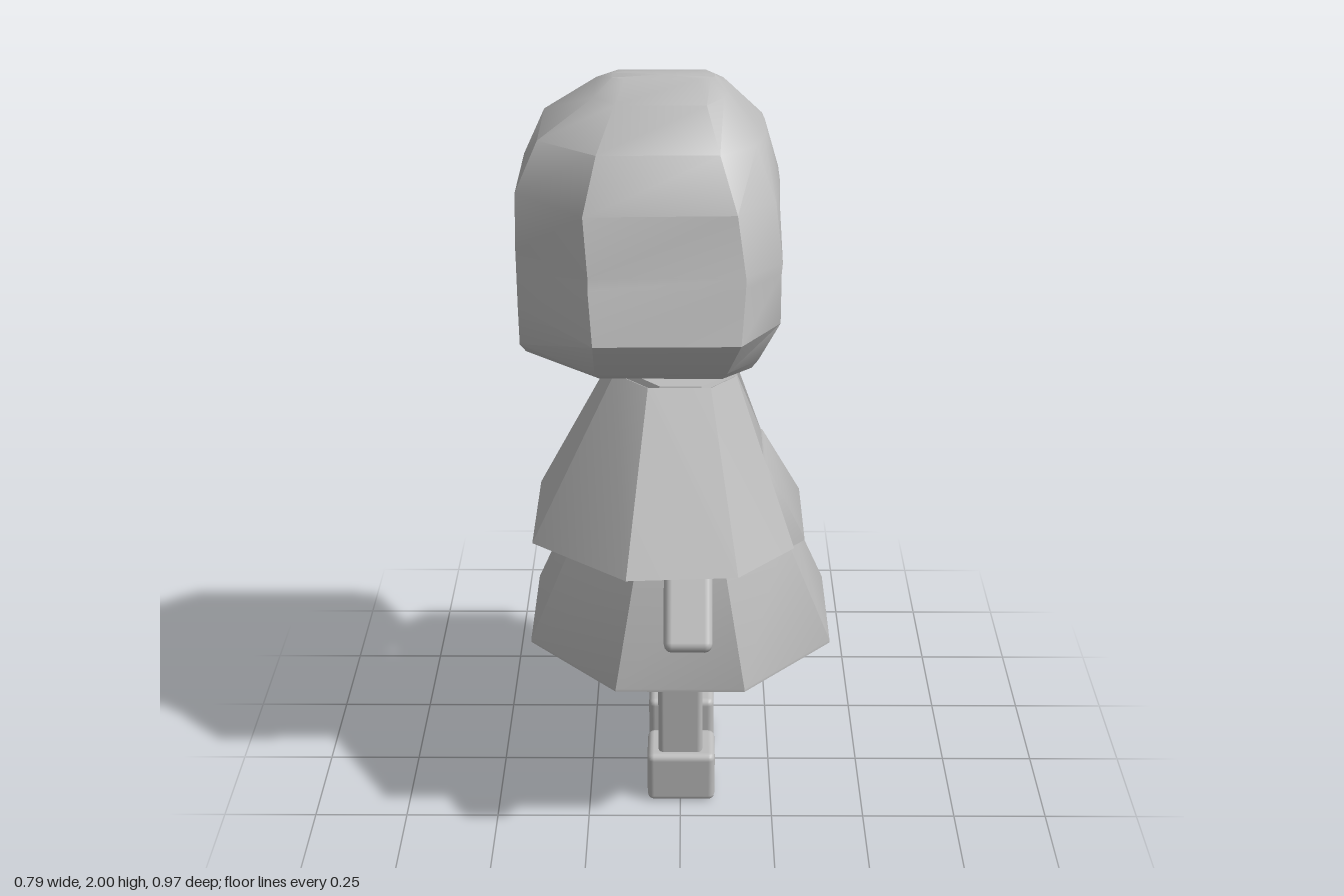
import * as THREE from 'three';
import { toCreasedNormals } from 'three/addons/utils/BufferGeometryUtils.js';
import { RoundedBoxGeometry } from 'three/addons/geometries/RoundedBoxGeometry.js';

const clay = new THREE.MeshStandardMaterial({ color: 0xbcbcbc });
clay.name = 'grey clay';

// Closed solid through equal-length loops of [x, y, z] points, capped at both ends.
function loft(rings, crease, lowCentre, highCentre) {
  const n = rings[0].length;
  const mean = (r) => [0, 1, 2].map((k) => r.reduce((s, p) => s + p[k], 0) / n);
  const last = rings.length - 1;
  const points = [...rings.flat(), lowCentre || mean(rings[0]), highCentre || mean(rings[last])];
  const low = rings.length * n, high = low + 1, index = [];
  for (let j = 0; j < n; j++) {
    const k = (j + 1) % n;
    for (let i = 0; i < last; i++) {
      const a = i * n + j, b = i * n + k;
      index.push(a, b, b + n, a, b + n, a + n);
    }
    index.push(low, k, j, high, last * n + j, last * n + k);
  }
  const g = new THREE.BufferGeometry();
  g.setAttribute('position', new THREE.Float32BufferAttribute(points.flat(), 3));
  g.setIndex(index);
  return toCreasedNormals(g, crease);
}

// Eight-sided flared tier of clothing with flat sides facing the axes.
function tier(topX, topZ, hemX, hemZ, yTop, yHem) {
  const ring = (rx, rz, y) => Array.from({ length: 8 }, (_, i) => {
    const a = Math.PI / 8 + (i * Math.PI) / 4, k = 1 / Math.cos(Math.PI / 8);
    return [-Math.cos(a) * rx * k, y, Math.sin(a) * rz * k];
  });
  return loft([ring(hemX, hemZ, yHem), ring(hemX, hemZ, yHem + 0.008), ring(topX, topZ, yTop)], 0.5);
}

export function createModel() {
  const model = new THREE.Group();
  model.name = 'doll';
  const add = (name, geometry, x = 0, y = 0, z = 0) => {
    const mesh = new THREE.Mesh(geometry, clay);
    mesh.name = name;
    mesh.position.set(x, y, z);
    model.add(mesh);
    return mesh;
  };

  // Bobbed hair: half loops from the back to the face opening as [x, z, lift], mirrored in z.
  const hairLevels = [
    [1.355, [[-0.375, 0.14], [-0.19, 0.29], [0.1, 0.29], [0.17, 0.23], [0.1, 0.16], [0.03, 0.08]]],
    [1.38, [[-0.388, 0.155], [-0.2, 0.32], [0.11, 0.315], [0.185, 0.24], [0.11, 0.17], [0.05, 0.1]]],
    [1.48, [[-0.388, 0.16], [-0.2, 0.385], [0.14, 0.38], [0.235, 0.25], [0.15, 0.22], [0.08, 0.1]]],
    [1.6, [[-0.388, 0.155], [-0.21, 0.34], [0.15, 0.33], [0.235, 0.235], [0.16, 0.215], [0.1, 0.1, 0.05]]],
    [1.625, [[-0.388, 0.155], [-0.21, 0.325], [0.15, 0.32], [0.237, 0.235], [0.232, 0.19, 0.01], [0.225, 0.04, 0.05]]],
    [1.76, [[-0.385, 0.14], [-0.22, 0.295], [0.13, 0.285], [0.22, 0.2], [0.23, 0.12], [0.235, 0.05]]],
    [1.88, [[-0.33, 0.12], [-0.19, 0.225], [0.09, 0.22], [0.175, 0.15], [0.195, 0.09], [0.2, 0.04]]],
    [1.97, [[-0.2, 0.08], [-0.15, 0.14], [0.06, 0.14], [0.1, 0.08], [0.11, 0.05], [0.11, 0.02]]],
    [1.998, [[-0.16, 0.02], [-0.13, 0.03], [0.04, 0.03], [0.07, 0.02], [0.075, 0.015], [0.08, 0.01]]],
  ];
  const hairRings = hairLevels.map(([y, half]) => {
    const side = half.map(([x, z, lift = 0]) => [x, y + lift, z]);
    return [...side, ...side.map(([x, h, z]) => [x, h, -z]).reverse()];
  });
  add('hair', loft(hairRings, 0.6, [-0.1, 1.325, 0], [-0.04, 2, 0]));

  // Face dome inside the opening, and neck
  const face = new THREE.SphereGeometry(1, 16, 10);
  face.scale(0.215, 0.19, 0.225);
  add('head', face, 0, 1.52, 0);
  add('neck', new RoundedBoxGeometry(0.115, 0.22, 0.12, 2, 0.015), 0, 1.28, 0);

  // Dress: chest, overskirt and skirt
  add('chest', tier(0.125, 0.12, 0.22, 0.2, 1.25, 0.99));
  add('overskirt', tier(0.215, 0.21, 0.32, 0.305, 1.02, 0.81));
  add('skirt', tier(0.27, 0.28, 0.395, 0.375, 0.82, 0.51));

  // Cape: columns of [top, hem] running round the back from one front edge to the other
  const columns = [
    [[0.14, 1.25, 0.06], [0.29, 0.825, 0.19]],
    [[0.075, 1.26, 0.15], [0.14, 0.905, 0.455]],
    [[-0.08, 1.26, 0.15], [-0.13, 0.895, 0.455]],
    [[-0.165, 1.26, 0.07], [-0.38, 0.82, 0.16]],
    [[-0.165, 1.26, -0.07], [-0.38, 0.82, -0.16]],
    [[-0.08, 1.26, -0.15], [-0.13, 0.895, -0.455]],
    [[0.075, 1.26, -0.15], [0.14, 0.905, -0.455]],
    [[0.13, 1.25, -0.09], [0.25, 0.825, -0.3]],
  ];
  const inner = ([x, y, z]) => [x * 0.92, y - 0.008, z * 0.92];
  add('cape', loft(columns.map(([top, hem]) => [inner(top), inner(hem), hem, top]), 0.5));

  // Limbs, mirrored left and right of the body
  for (const s of [1, -1]) {
    const arm = add('arm', new RoundedBoxGeometry(0.12, 0.42, 0.095, 2, 0.02), 0.02, 0.855, s * 0.327);
    arm.rotation.x = -s * 0.65;
    add('leg', new RoundedBoxGeometry(0.12, 0.42, 0.095, 2, 0.015), 0, 0.33, s * 0.122);
    add('foot', new RoundedBoxGeometry(0.185, 0.155, 0.13, 2, 0.018), 0.002, 0.0775, s * 0.125);
  }
  return model;
}
